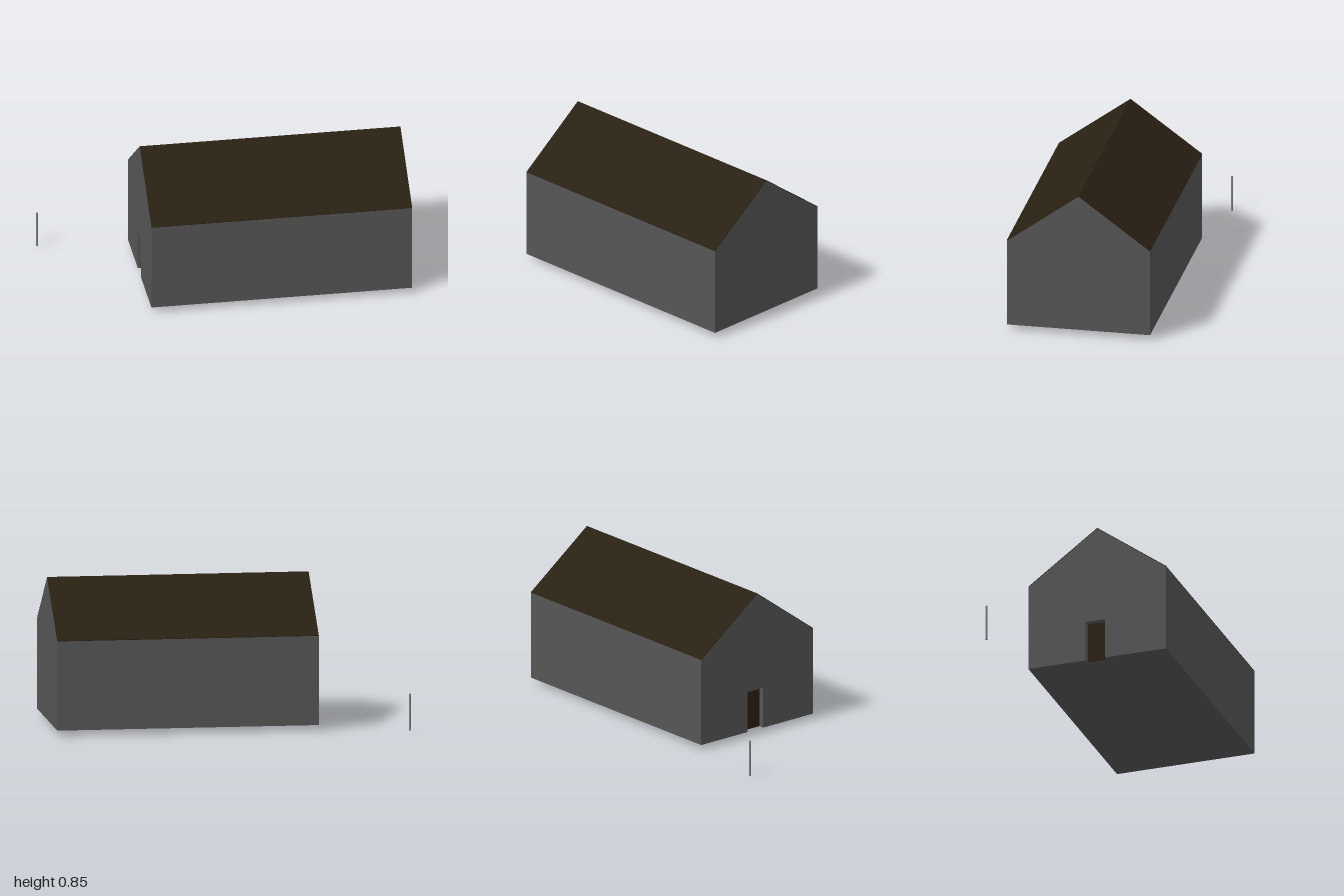
import * as THREE from 'three';

const HALF = 0.416, LENGTH = 1.504, BASE = 0.03, EAVE = 0.548, RIDGE = 0.852;
const SKIN = 0.004;    // roof covering thickness
const RECESS = 0.035;  // depth of the doorway
const DOOR = { x: -0.012, w: 0.115, h: 0.24 };

const material = (color) => new THREE.MeshStandardMaterial({ color, flatShading: true });

// Extrudes an outline along the length of the house, from z0 to z1
function prism(name, points, z0, z1, mat) {
  const shape = new THREE.Shape(points.map(([x, y]) => new THREE.Vector2(x, y)));
  const geometry = new THREE.ExtrudeGeometry(shape, { depth: z1 - z0, bevelEnabled: false });
  geometry.translate(0, 0, z0);
  const mesh = new THREE.Mesh(geometry, mat);
  mesh.name = name;
  return mesh;
}

export function createModel() {
  const model = new THREE.Group();
  model.name = 'barn';
  const wall = material(0x555555);
  const dark = material(0x2a2014);

  // The building is modelled along its own z axis, door end at +z
  const house = new THREE.Group();
  house.name = 'house';
  const end = LENGTH / 2;
  const gable = [[HALF, BASE], [HALF, EAVE - SKIN], [0, RIDGE - SKIN], [-HALF, EAVE - SKIN], [-HALF, BASE]];
  house.add(prism('walls', gable, -end, end - RECESS, wall));

  // Door end wall, with the doorway notched out of its lower edge
  const x0 = DOOR.x - DOOR.w / 2, x1 = DOOR.x + DOOR.w / 2, top = BASE + DOOR.h;
  const notch = [[x0, BASE], [x0, top], [x1, top], [x1, BASE]];
  house.add(prism('doorEndWall', [...gable, ...notch], end - RECESS, end, wall));

  // Dark door at the back of the recess
  const door = new THREE.Mesh(new THREE.PlaneGeometry(DOOR.w, DOOR.h), dark);
  door.name = 'door';
  door.position.set(DOOR.x, BASE + DOOR.h / 2, end - RECESS + 0.001);
  house.add(door);

  // Roof covering, flush with the walls
  house.add(prism('roof', [
    [HALF, EAVE - SKIN], [HALF, EAVE], [0, RIDGE], [-HALF, EAVE], [-HALF, EAVE - SKIN], [0, RIDGE - SKIN],
  ], -end, end, dark));

  house.rotation.y = -2.271;
  house.position.set(0, 0, 0.195);
  model.add(house);

  // Slim post standing apart, beyond the door end
  const post = new THREE.Mesh(new THREE.CylinderGeometry(0.0065, 0.0065, 0.21, 12), new THREE.MeshStandardMaterial({ color: 0x808080 }));
  post.name = 'post';
  post.position.set(-0.655, 0.105, -0.993);
  model.add(post);

  return model;
}
